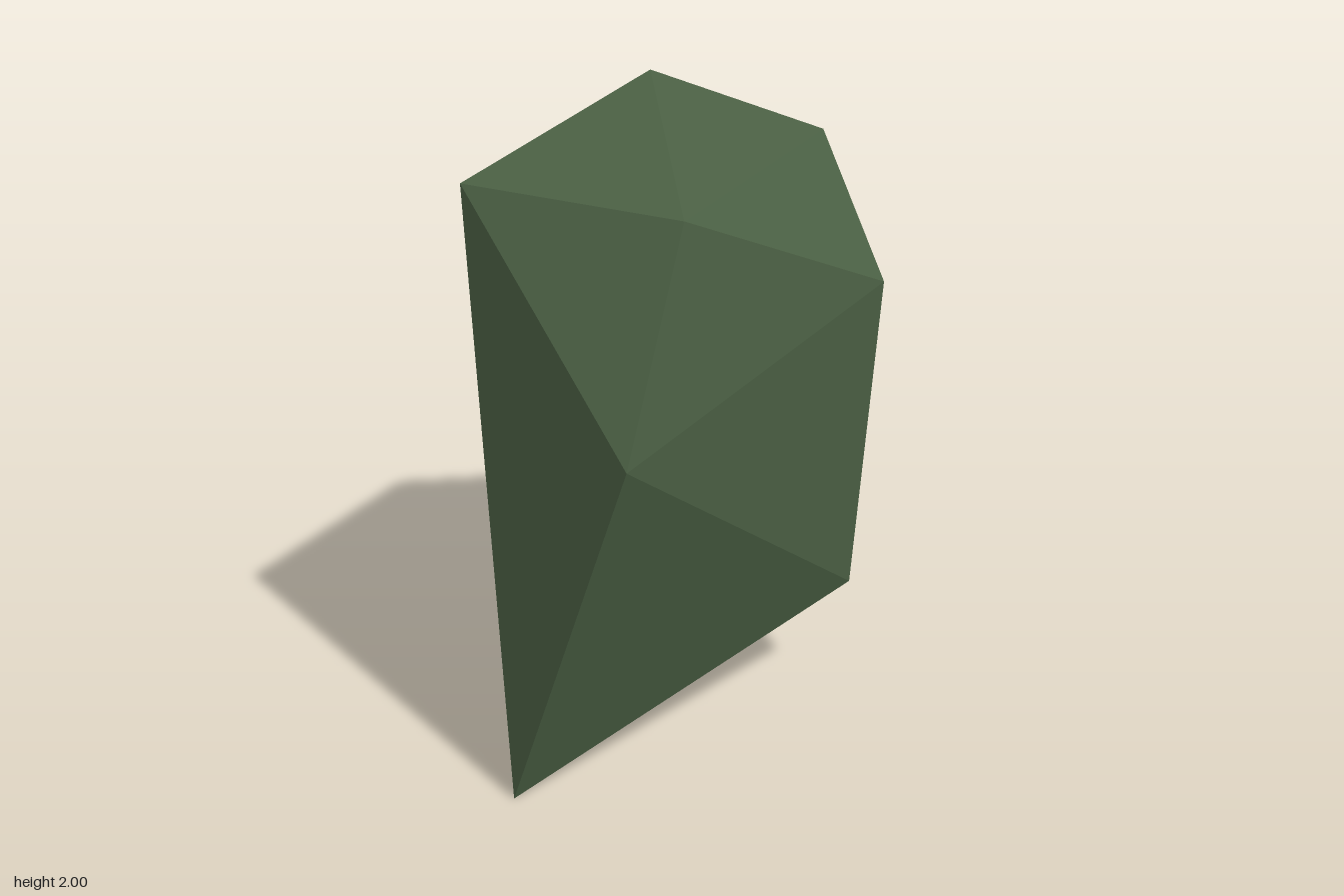
import * as THREE from 'three';

// Corners of the faceted boulder (a distorted icosahedron)
const corners = {
  A: [-0.28, 2.0, -0.36], B: [-0.32, 1.81, 0.59], C: [0.36, 1.77, 0.49],
  D: [0.37, 1.15, 0.8], E: [-0.03, 0, 0.825], F: [0.575, 1.42, -0.36],
  G: [0.525, 0.39, -0.31], H: [-0.58, 1.44, 0.19], I: [-0.37, 0.56, -0.67],
  J: [0.355, 1.2, -0.825], K: [-0.335, 1.51, -0.765], L: [0.23, 1.82, -0.6],
};

const mossFaces = 'ABC ACL ALK AKH AHB BCD BDE BEH CDF CFL DFG DGE FGJ FJL LJK JGI JIK KIH EHI';
const earthFaces = 'EGI';

// Builds flat facets, turning each one to face away from the core
function facets(names, material, name) {
  const core = new THREE.Vector3(0, 1.2, 0);
  const points = [];
  for (const face of names.split(' ')) {
    const [a, b, c] = [...face].map((k) => new THREE.Vector3(...corners[k]));
    const normal = b.clone().sub(a).cross(c.clone().sub(a));
    const outward = normal.dot(a.clone().sub(core)) > 0;
    points.push(...(outward ? [a, b, c] : [a, c, b]));
  }
  const geometry = new THREE.BufferGeometry().setFromPoints(points);
  geometry.computeVertexNormals();
  const mesh = new THREE.Mesh(geometry, material);
  mesh.name = name;
  return mesh;
}

export function createModel() {
  const mossGreen = new THREE.MeshStandardMaterial({ color: 0x4a5f43 });
  mossGreen.name = 'mossGreen';
  const earthBrown = new THREE.MeshStandardMaterial({ color: 0x4a3430 });
  earthBrown.name = 'earthBrown';

  const group = new THREE.Group();
  group.name = 'boulder';
  group.add(
    facets(mossFaces, mossGreen, 'mossyBody'),
    facets(earthFaces, earthBrown, 'bareUnderside'),
  );
  return group;
}
